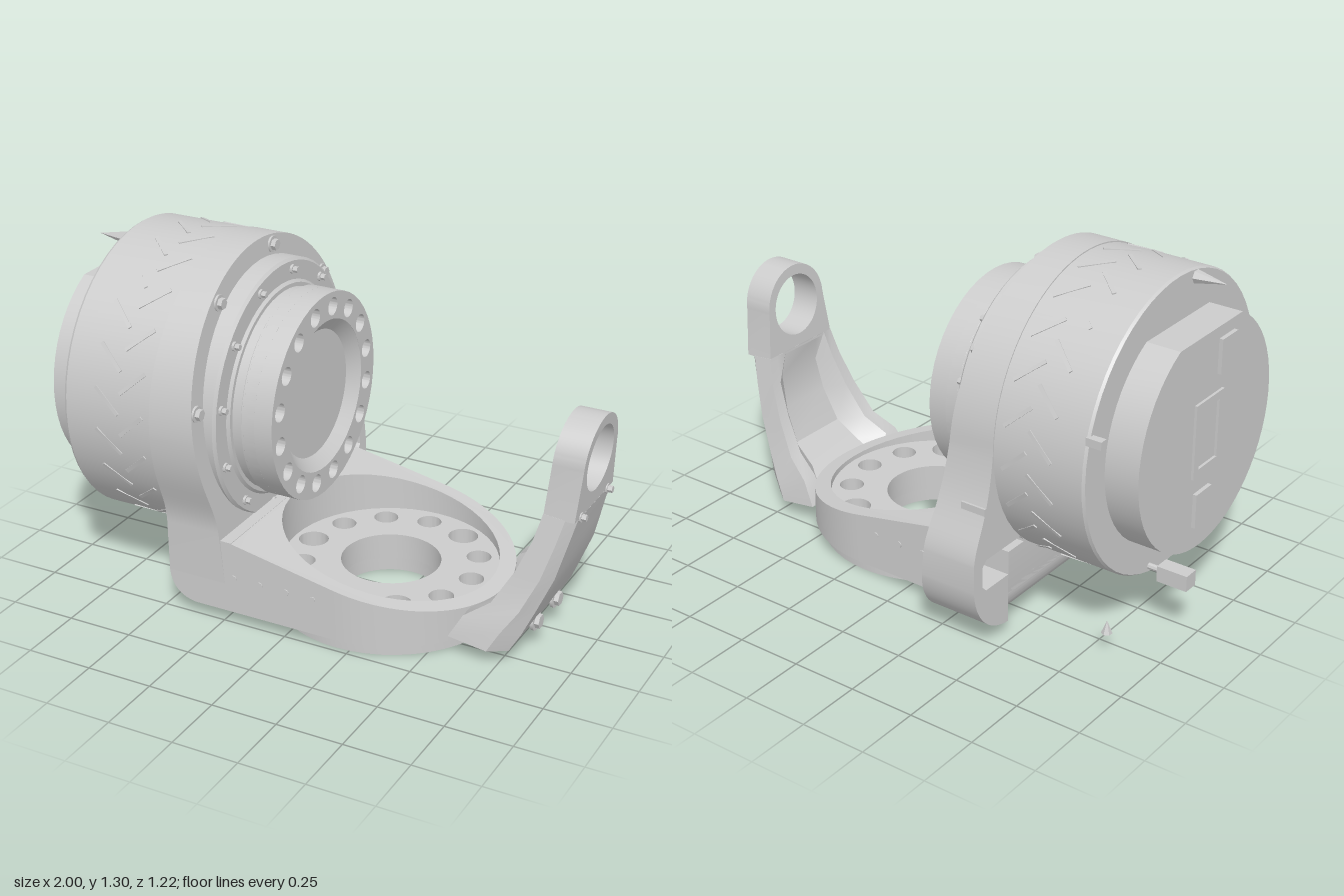
import * as THREE from 'three';
import { toCreasedNormals } from 'three/addons/utils/BufferGeometryUtils.js';

const CY = 0.75, CZ = 0.05; // drum axis height and depth
const PX = 0.2;             // centre of the base ring in x
const grey = new THREE.MeshStandardMaterial({ color: 0xcccccc });

export function createModel() {
  const root = new THREE.Group();

  const add = (name, geo, x = 0, y = 0, z = 0, parent = root) => {
    const m = new THREE.Mesh(toCreasedNormals(geo, 0.5), grey);
    m.name = name;
    m.position.set(x, y, z);
    parent.add(m);
    return m;
  };
  const group = (name) => {
    const g = new THREE.Group();
    g.name = name;
    root.add(g);
    return g;
  };
  const circle = (x, y, r) => new THREE.Path().absarc(x, y, r, 0, Math.PI * 2, true);
  const disc = (r) => new THREE.Shape().absarc(0, 0, r, 0, Math.PI * 2, false);
  const extrude = (shape, depth) =>
    new THREE.ExtrudeGeometry(shape, { depth, bevelEnabled: false, curveSegments: 24 });
  // Extrusion along +x of a shape drawn in (-z, y)
  const alongX = (shape, depth) => extrude(shape, depth).rotateY(Math.PI / 2);
  // Extrusion along +y of a shape drawn in (x, -z)
  const alongY = (shape, depth) => extrude(shape, depth).rotateX(-Math.PI / 2);
  // Turned part about the drum axis, profile given as [radius, x]
  const turned = (name, profile) => add(name, new THREE.LatheGeometry(
    profile.map(([r, x]) => new THREE.Vector2(r, x)), 56).rotateZ(-Math.PI / 2), 0, CY, CZ);
  const moveVertices = (geo, rule) => {
    const p = geo.attributes.position, v = new THREE.Vector3();
    for (let i = 0; i < p.count; i++) {
      rule(v.fromBufferAttribute(p, i));
      p.setXYZ(i, v.x, v.y, v.z);
    }
    return geo;
  };
  // Hexagon head on a washer, facing +x
  const screw = (parent, x, y, z, r) => {
    add('washer', new THREE.CylinderGeometry(r, r, 0.012, 16).rotateZ(-Math.PI / 2), x, y, z, parent);
    add('screwHead', new THREE.CylinderGeometry(r * 0.7, r * 0.7, 0.03, 6).rotateZ(-Math.PI / 2), x + 0.008, y, z, parent);
  };

  // Motor drum with its front bearing ring and neck
  turned('drum', [[0, -0.83], [0.545, -0.83], [0.551, -0.82], [0.551, -0.46], [0, -0.46]]);
  turned('bearingRing', [[0, -0.45], [0.48, -0.45], [0.48, -0.26], [0.47, -0.25],
    [0.4, -0.25], [0.39, -0.24], [0, -0.24]]);
  turned('neck', [[0, -0.25], [0.375, -0.25], [0.375, -0.205], [0.36, -0.2], [0.36, -0.19], [0, -0.19]]);

  // Criss-cross ridges around the drum
  const ridges = group('drumRidges');
  for (let i = 0; i < 44; i++) {
    const a = (i / 44) * Math.PI * 2, row = i % 2;
    const g = new THREE.BoxGeometry(0.13, 0.008, 0.014);
    g.rotateY(row ? 0.75 : -0.75).translate(row ? -0.55 : -0.65, 0.549, 0).rotateX(a);
    add('ridge', g, 0, CY, CZ, ridges);
  }

  // Output flange with a ring of recessed screws
  const flange = disc(0.387);
  flange.holes.push(circle(0, 0, 0.285));
  const flangeScrews = group('flangeScrews');
  for (let i = 0; i < 16; i++) {
    const a = ((i + 0.5) / 16) * Math.PI * 2, u = 0.332 * Math.cos(a), v = 0.332 * Math.sin(a);
    flange.holes.push(circle(u, v, 0.034));
    screw(flangeScrews, -0.135, CY + v, CZ - u, 0.034);
  }
  add('outputFlange', alongX(flange, 0.122), -0.197, CY, CZ);
  turned('flangeBack', [[0, -0.2], [0.38, -0.2], [0.387, -0.19], [0.387, -0.145], [0, -0.145]]);
  turned('flangeRecess', [[0.286, -0.15], [0.286, -0.075], [0.24, -0.115], [0, -0.115]]);

  // Housing: round collar running down into a foot and a side lug with a window
  const hs = new THREE.Shape();
  hs.moveTo(-0.51, 0.16).lineTo(0.41, 0.16).lineTo(0.41, 0.05);
  hs.bezierCurveTo(0.52, 0.06, 0.6, 0.14, 0.61, 0.26);
  hs.lineTo(0.61, 0.36);
  hs.bezierCurveTo(0.6, 0.46, 0.53, 0.5, 0.505, CY);
  hs.absarc(-CZ, CY, 0.555, 0, Math.PI, false);
  hs.bezierCurveTo(-0.6, 0.55, -0.52, 0.48, -0.515, 0.36);
  hs.closePath();
  const win = new THREE.Path();
  win.moveTo(0.34, 0.24).lineTo(0.32, 0.27).lineTo(0.32, 0.34).lineTo(0.34, 0.36);
  win.lineTo(0.54, 0.36).lineTo(0.56, 0.34).lineTo(0.56, 0.26).lineTo(0.54, 0.24).closePath();
  hs.holes.push(win);
  const faceX = (y) => -0.34 + 0.09 * (1.3 - y); // sloping front face
  add('housing', moveVertices(alongX(hs, 1), (v) => { v.x = v.x > 0.5 ? faceX(v.y) : -0.47; }));
  add('lugStep', new THREE.BoxGeometry(0.1, 0.06, 0.12), -0.42, 0.53, -0.49);

  // Screws on the collar and on the bearing ring
  const collarScrews = group('collarScrews');
  for (const [z, y] of [[-0.04, 1.26], [0.35, 1.17], [0.565, 0.84], [-0.375, 1.045], [-0.46, 0.66]])
    screw(collarScrews, faceX(y), y, z, 0.03);
  for (let i = 0; i < 12; i++) {
    const a = ((i + 0.35) / 12) * Math.PI * 2;
    screw(collarScrews, -0.247, CY + 0.44 * Math.sin(a), CZ + 0.44 * Math.cos(a), 0.017);
  }

  // Heel joining housing and base plate, rounded underneath
  const heel = new THREE.Shape();
  heel.moveTo(-0.36, 0.05).lineTo(-0.208, 0.05).lineTo(-0.208, 0.33).lineTo(-0.47, 0.33).lineTo(-0.47, 0.16);
  heel.quadraticCurveTo(-0.46, 0.06, -0.36, 0.05);
  add('heel', extrude(heel, 0.92), 0, 0, -0.41);

  // Sloping wall around the base ring
  const wall = new THREE.Shape();
  wall.moveTo(-0.22, -0.51).lineTo(PX, -0.51);
  wall.absarc(PX, -CZ, 0.46, -Math.PI / 2, Math.PI / 2, false);
  wall.lineTo(-0.22, 0.41).closePath();
  wall.holes.push(circle(PX, -CZ, 0.4));
  add('baseWall', moveVertices(alongY(wall, 1), (v) => {
    v.y = v.y > 0.5 ? Math.min(0.33, 0.32 - 0.2 * (v.x + 0.16)) : 0.05;
  }));

  // Base ring: floor with bolt holes above a thinner mounting disc
  const ringShape = (r, small) => {
    const s = disc(r);
    s.holes.push(circle(0, 0, 0.185));
    for (let i = 0; i < 12; i++) {
      const a = (i / 12) * Math.PI * 2;
      s.holes.push(circle(0.325 * Math.cos(a), 0.325 * Math.sin(a), i % 4 === 2 ? 0.056 : small));
    }
    return s;
  };
  add('baseFloor', alongY(ringShape(0.402, 0.046), 0.1), PX, 0.05, CZ);
  add('mountingDisc', alongY(ringShape(0.43, 0.026), 0.055), PX, 0, CZ);
  const plugs = group('wallPlugs');
  for (const z of [-0.41, 0.51]) for (let i = 0; i < 4; i++)
    add('wallPlug', new THREE.CylinderGeometry(0.012, 0.012, 0.008, 10).rotateX(Math.PI / 2), -0.2 + i * 0.107, 0.19, z, plugs);

  // Curved arm: rows of [inner x, inner y, outer x, outer y, half width, channel depth]
  const rows = [
    [0.57, 0.08, 0.78, 0.05, 0.295, 0], [0.62, 0.17, 0.82, 0.12, 0.28, 0.4],
    [0.71, 0.23, 0.86, 0.21, 0.25, 0.55], [0.785, 0.36, 0.915, 0.34, 0.222, 0.5],
    [0.835, 0.48, 0.95, 0.47, 0.198, 0.35], [0.861, 0.58, 0.976, 0.57, 0.178, 0]];
  const pos = [], idx = [];
  for (const [ix, iy, ox, oy, w, d] of rows) {
    const section = [[0.7, 1], [1, 0.82], [1, -0.82], [0.7, -1], [0, -1], [0, -0.78],
      [d, -0.5], [d, 0.5], [0, 0.78], [0, 1]];
    for (const [s, t] of section) pos.push(ix + (ox - ix) * s, iy + (oy - iy) * s, CZ + w * t);
  }
  const n = 10;
  for (let i = 0; i < rows.length - 1; i++) for (let j = 0; j < n; j++) {
    const a = i * n + j, b = i * n + (j + 1) % n;
    idx.push(a, b, b + n, a, b + n, a + n);
  }
  for (let j = 1; j < n - 1; j++) {
    const t = (rows.length - 1) * n;
    idx.push(0, j + 1, j, t, t + j, t + j + 1);
  }
  const arm = new THREE.BufferGeometry();
  arm.setAttribute('position', new THREE.Float32BufferAttribute(pos, 3));
  arm.setIndex(idx);
  arm.computeVertexNormals();
  add('arm', arm);

  // Rounded eye at the arm's tip
  const eye = new THREE.Shape();
  eye.moveTo(-CZ - 0.178, 0.57).lineTo(-CZ + 0.178, 0.57);
  eye.absarc(-CZ, 0.75, 0.155, 0, Math.PI, false);
  eye.closePath();
  eye.holes.push(circle(-CZ, 0.745, 0.12));
  add('armEye', moveVertices(alongX(eye, 0.115), (v) => { v.x += 0.875 + 0.08 * (v.y - 0.75); }));
  const armScrews = group('armScrews');
  for (const s of [-1, 1]) {
    screw(armScrews, 0.815, 0.105, CZ + s * 0.09, 0.038);
    screw(armScrews, 0.975, 0.57, CZ + s * 0.122, 0.018);
  }

  // Rear cap with a flat top edge, cover plate and two sockets
  const cap = new THREE.Shape();
  const flat = Math.asin(0.38 / 0.43);
  cap.absarc(0, 0, 0.43, Math.PI - flat, Math.PI * 2 + flat, false);
  cap.closePath();
  add('rearCap', alongX(cap, 0.135), -0.96, CY, CZ);
  const panel = new THREE.Shape();
  panel.moveTo(-0.09, -0.14).lineTo(0.09, -0.14).lineTo(0.09, 0.14).lineTo(-0.09, 0.14).closePath();
  const slot = new THREE.Path();
  slot.moveTo(-0.06, -0.11).lineTo(-0.06, 0.11).lineTo(0.06, 0.11).lineTo(0.06, -0.11).closePath();
  panel.holes.push(slot);
  add('coverFrame', alongX(panel, 0.015), -0.97, CY, CZ);
  for (const s of [-1, 1])
    add('socket', new THREE.BoxGeometry(0.03, 0.13, 0.1), -0.96, CY + s * 0.27, CZ + 0.04 + s * 0.06);

  // Cable plug and loose tips behind the drum
  add('cablePlug', new THREE.BoxGeometry(0.12, 0.06, 0.06), -0.94, 0.24, -0.07);
  add('cablePin', new THREE.CylinderGeometry(0.012, 0.012, 0.07, 8).rotateZ(Math.PI / 2), -0.85, 0.24, -0.07);
  add('upperTip', new THREE.ConeGeometry(0.025, 0.12, 6).rotateZ(Math.PI / 2), -0.89, 1.26, 0.15);
  add('sideTip', new THREE.BoxGeometry(0.06, 0.03, 0.03), -0.85, 0.9, -0.47);
  add('lowerTip', new THREE.ConeGeometry(0.02, 0.05, 6), -0.81, 0.1, -0.3);

  return root;
}
